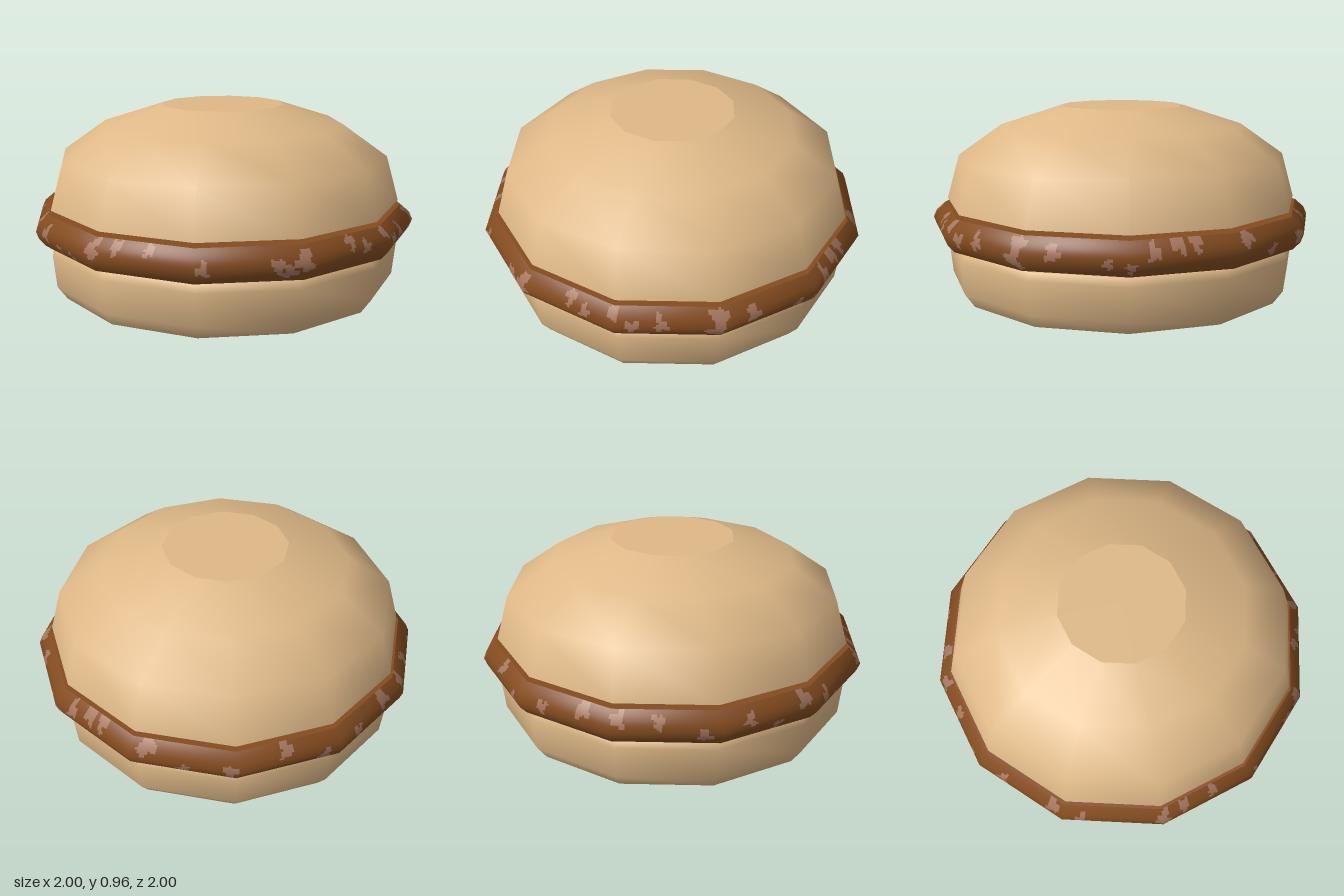
import * as THREE from 'three';

const SIDES = 12;
const bunMat = new THREE.MeshStandardMaterial({ name: 'bun', color: 0xdeb887 });
const pattyMat = new THREE.MeshStandardMaterial({ name: 'patty brown', color: 0x844c20 });
const spotMat = new THREE.MeshStandardMaterial({ name: 'patty spots', color: 0xa87860 });

// flat twelve-sided lid facing up or down
function cap(name, radius, y, up, material) {
  const geo = new THREE.CircleGeometry(radius, SIDES).rotateX(up ? -Math.PI / 2 : Math.PI / 2);
  const mesh = new THREE.Mesh(geo, material);
  mesh.position.y = y;
  mesh.name = name;
  return mesh;
}

// smooth lathe wall closed by flat lids; profile runs upwards as [radius, y]
function bun(name, profile) {
  const group = new THREE.Group();
  group.name = name;
  const wall = new THREE.Mesh(
    new THREE.LatheGeometry(profile.map(([r, y]) => new THREE.Vector2(r, y)), SIDES), bunMat);
  wall.name = name + 'Wall';
  const [r0, y0] = profile[0], [r1, y1] = profile[profile.length - 1];
  group.add(wall, cap(name + 'Base', r0, y0, false, bunMat), cap(name + 'Top', r1, y1, true, bunMat));
  return group;
}

// patty rim: radius, height and outward tilt of the normal
const RIM = [[0.95, 0.29, -0.75], [0.985, 0.33, -0.4], [1, 0.37, 0], [0.982, 0.41, 0.45], [0.935, 0.45, 0.85]];

// spots: angle in degrees from the front towards +x, height, size
const SPOTS = [
  [-48, .33, .02], [-41, .315, .022], [-30, .40, .036], [-23, .42, .025], [-13, .425, .024], [2, .365, .028],
  [22, .37, .03], [25, .34, .03], [29, .385, .04], [46, .42, .026], [51, .39, .024], [60, .43, .026],
  [65, .37, .028], [73, .38, .032], [88, .35, .042], [89, .41, .036], [99, .385, .033], [114, .35, .022],
  [120, .335, .022], [126, .40, .03], [133, .43, .034], [138, .425, .03], [154, .43, .04], [165, .34, .028],
  [178, .37, .03], [194, .42, .03], [205, .35, .03], [218, .38, .026], [231, .425, .036], [242, .42, .03],
  [253, .41, .026], [265, .35, .03], [278, .39, .026], [287, .33, .024], [296, .42, .034], [305, .38, .03]];

// irregular blobs: a distance test with a wavering edge
function isSpot(angle, y) {
  return SPOTS.some(([a, h, size], i) => {
    const d = ((angle - a + 540) % 360 + 360) % 360 - 180;
    const dx = d * Math.PI / 180, dy = y - h;
    const turn = Math.atan2(dy, dx);
    const wobble = 1 + 0.3 * Math.sin(turn * 3 + i * 2.1) + 0.2 * Math.sin(turn * 5 + i * 1.3);
    return Math.hypot(dx, dy * 0.85) < size * wobble;
  });
}

// faceted rim divided into a fine grid whose cells take one of two colours
function pattyRim() {
  const sub = 40, rows = 20, cols = SIDES * sub;
  const pos = [], nor = [], plain = [], spotted = [];
  for (let c = 0; c <= cols; c++) {
    const side = Math.floor(c / sub), t = (c % sub) / sub;
    const a0 = side * Math.PI * 2 / SIDES, a1 = (side + 1) * Math.PI * 2 / SIDES;
    const dx = THREE.MathUtils.lerp(Math.sin(a0), Math.sin(a1), t);
    const dz = THREE.MathUtils.lerp(Math.cos(a0), Math.cos(a1), t);
    for (let r = 0; r <= rows; r++) {
      const p = r / rows * (RIM.length - 1), i = Math.min(Math.floor(p), RIM.length - 2);
      const [radius, y, tilt] = RIM[i].map((v, k) => THREE.MathUtils.lerp(v, RIM[i + 1][k], p - i));
      pos.push(dx * radius, y, dz * radius);
      nor.push(...new THREE.Vector3(dx, tilt, dz).normalize().toArray());
      if (c < cols && r < rows) {
        const a = c * (rows + 1) + r, b = a + rows + 1;
        const angle = THREE.MathUtils.radToDeg(Math.atan2(dx, dz));
        (isSpot(angle, y + 0.004) ? spotted : plain).push(a, b, a + 1, b, b + 1, a + 1);
      }
    }
  }
  const geo = new THREE.BufferGeometry();
  geo.setAttribute('position', new THREE.Float32BufferAttribute(pos, 3));
  geo.setAttribute('normal', new THREE.Float32BufferAttribute(nor, 3));
  geo.setIndex([...plain, ...spotted]);
  geo.addGroup(0, plain.length, 0);
  geo.addGroup(plain.length, spotted.length, 1);
  const mesh = new THREE.Mesh(geo, [pattyMat, spotMat]);
  mesh.name = 'pattyRim';
  return mesh;
}

export function createModel() {
  const model = new THREE.Group();
  model.name = 'burger';

  const patty = new THREE.Group();
  patty.name = 'patty';
  patty.add(pattyRim(), cap('pattyBase', 0.95, 0.29, false, pattyMat), cap('pattyTop', 0.935, 0.45, true, pattyMat));

  model.add(
    bun('bottomBun', [[0.855, 0], [0.905, 0.07], [0.922, 0.235], [0.89, 0.27]]),
    patty,
    bun('topBun', [[0.922, 0.47], [0.857, 0.70], [0.63, 0.86], [0.32, 0.96]]));
  return model;
}
